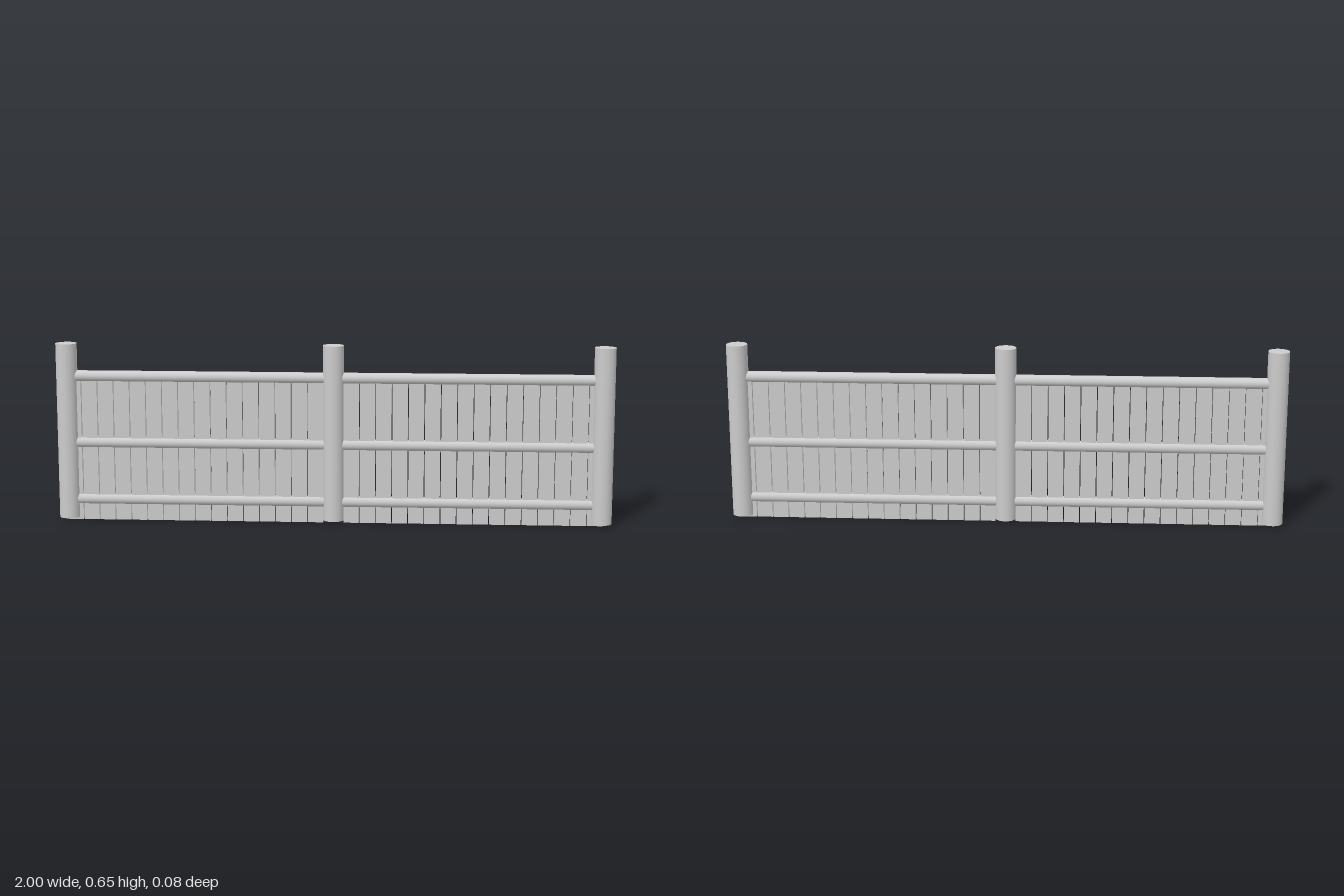
import * as THREE from 'three';

const material = new THREE.MeshStandardMaterial({ color: 0xcccccc });

function addMesh(parent, name, geometry, x, y, z) {
  const mesh = new THREE.Mesh(geometry, material);
  mesh.name = name;
  mesh.position.set(x, y, z);
  parent.add(mesh);
  return mesh;
}

export function createModel() {
  const fence = new THREE.Group();
  fence.name = 'fence';

  // Three round posts, slightly clear of the ground
  const postRadius = 0.038;
  const postBottom = 0.008;
  const postTop = 0.645;
  const postX = 1 - postRadius;
  const postGeometry = new THREE.CylinderGeometry(postRadius, postRadius, postTop - postBottom, 40);
  for (const [name, x] of [['rightPost', -postX], ['middlePost', 0], ['leftPost', postX]]) {
    addMesh(fence, name, postGeometry, x, (postTop + postBottom) / 2, 0);
  }

  // Rails run into the posts at both ends
  const railStart = 0.02;
  const railEnd = 0.945;
  const railGeometry = new THREE.CylinderGeometry(0.02, 0.02, railEnd - railStart, 32);
  railGeometry.rotateZ(Math.PI / 2);

  // Flat boards with hairline gaps between them
  const boardCount = 16;
  const boardStart = 0.035;
  const boardEnd = 0.968;
  const pitch = (boardEnd - boardStart) / boardCount;
  const boardHeight = 0.53;
  const boardGeometry = new THREE.BoxGeometry(pitch - 0.003, boardHeight, 0.021);

  // Two mirrored panels
  for (const side of [-1, 1]) {
    const panel = new THREE.Group();
    panel.name = side < 0 ? 'rightPanel' : 'leftPanel';
    fence.add(panel);

    for (const [name, y] of [['bottomRail', 0.076], ['middleRail', 0.285], ['topRail', 0.527]]) {
      addMesh(panel, name, railGeometry, side * (railStart + railEnd) / 2, y, 0);
    }
    for (let i = 0; i < boardCount; i++) {
      addMesh(panel, 'board', boardGeometry, side * (boardStart + (i + 0.5) * pitch), boardHeight / 2, 0);
    }
  }

  return fence;
}
